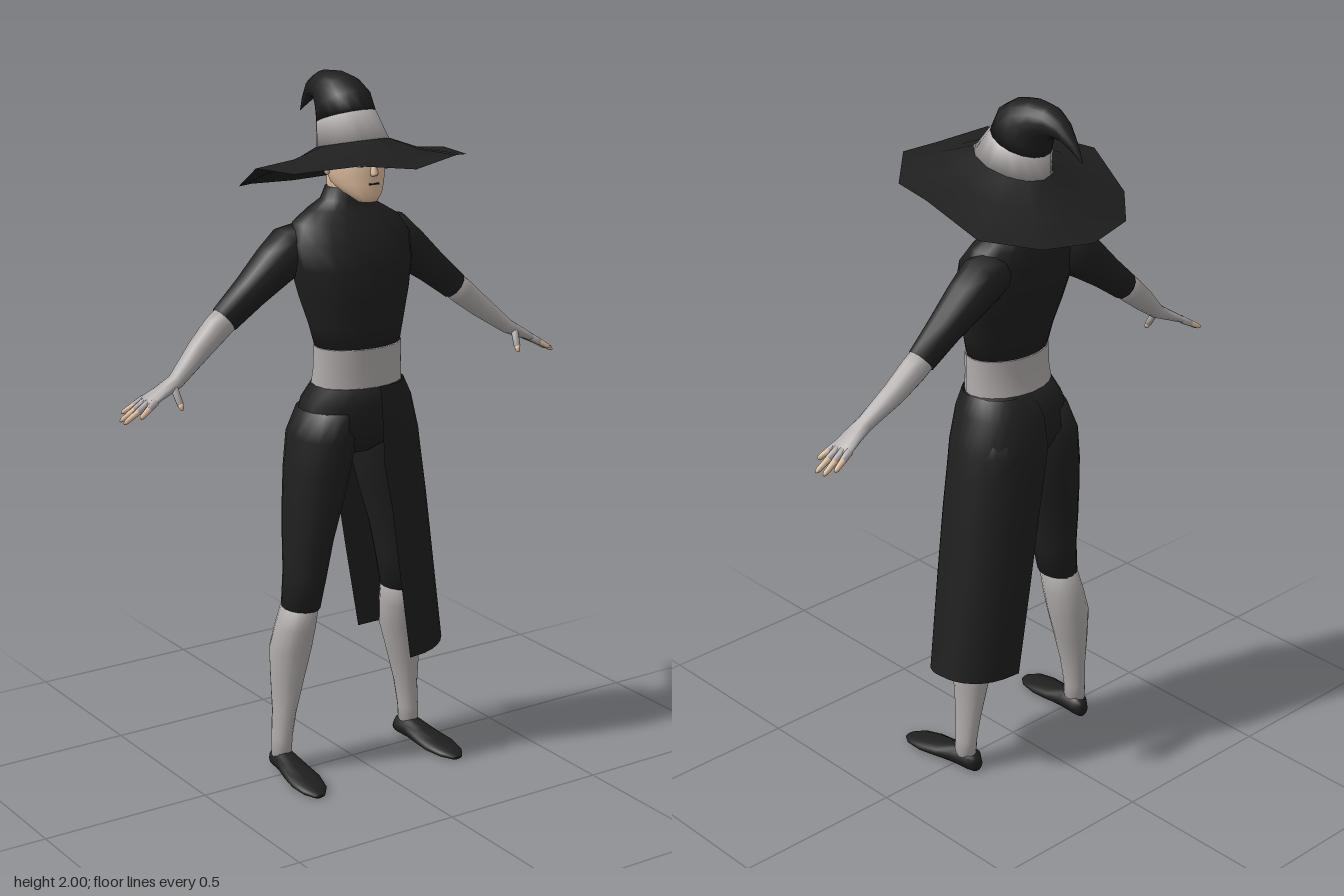
import * as THREE from 'three';

const V = (x, y, z) => new THREE.Vector3(x, y, z);
const black = new THREE.MeshStandardMaterial({ color: 0x1f1f1f, side: THREE.DoubleSide });
black.name = 'blackCloth';
const grey = new THREE.MeshStandardMaterial({ color: 0xb0abaa });
grey.name = 'greyCloth';
const skin = new THREE.MeshStandardMaterial({ color: 0xdfbf9f });
skin.name = 'skin';
const white = new THREE.MeshStandardMaterial({ color: 0xe8e4de });
white.name = 'eyeWhite';

// Skin a list of point rings; closed lofts get end caps and always face outwards.
function loft(rings, closed = true) {
  const n = rings[0].length, pts = rings.flat(), idx = [];
  const cols = closed ? n : n - 1;
  for (let r = 0; r < rings.length - 1; r++) {
    for (let i = 0; i < cols; i++) {
      const a = r * n + i, b = r * n + (i + 1) % n;
      idx.push(a, b, a + n, b, b + n, a + n);
    }
  }
  if (closed) {
    [0, rings.length - 1].forEach((r, end) => {
      const c = V(0, 0, 0);
      rings[r].forEach(p => c.addScaledVector(p, 1 / n));
      pts.push(c);
      for (let i = 0; i < n; i++) {
        const a = r * n + i, b = r * n + (i + 1) % n;
        idx.push(pts.length - 1, end ? a : b, end ? b : a);
      }
    });
    let volume = 0;
    for (let i = 0; i < idx.length; i += 3) {
      volume += pts[idx[i]].dot(V(0, 0, 0).crossVectors(pts[idx[i + 1]], pts[idx[i + 2]]));
    }
    if (volume < 0) idx.reverse();
  }
  const g = new THREE.BufferGeometry().setFromPoints(pts);
  g.setIndex(idx);
  g.computeVertexNormals();
  return g;
}

// Ellipse around c spanned by u and v, starting at u
const ellipse = (c, u, v, n) => Array.from({ length: n }, (_, i) => {
  const a = i / n * Math.PI * 2;
  return c.clone().addScaledVector(u, Math.cos(a)).addScaledVector(v, Math.sin(a));
});

// Upright form from rows of [y, centre x, half width, front z, back z]
const upright = (rows, s = 1, n = 16) => loft(rows.map(([y, x, w, f, b]) =>
  ellipse(V(s * x, y, (f + b) / 2), V(0, 0, (f - b) / 2), V(w, 0, 0), n)));

// Limb from rows of [x, y, z, thickness radius, depth radius]
function limb(rows, s, n = 12) {
  const p = rows.map(r => V(s * r[0], r[1], r[2]));
  return loft(rows.map((r, i) => {
    const d = p[Math.min(i + 1, p.length - 1)].clone().sub(p[Math.max(i - 1, 0)]).normalize();
    const u = d.clone().cross(V(0, 0, 1)).normalize(), v = u.clone().cross(d);
    return ellipse(p[i], u.multiplyScalar(r[3]), v.multiplyScalar(r[4]), n);
  }));
}

export function createModel() {
  const root = new THREE.Group();
  const add = (name, geometry, material) => {
    const m = new THREE.Mesh(geometry, material);
    m.name = name;
    root.add(m);
    return m;
  };

  // Torso, belt and hips
  add('torso', upright([
    [1.25, 0, .128, .116, -.065], [1.32, 0, .145, .12, -.08], [1.4, 0, .168, .122, -.105],
    [1.48, 0, .185, .12, -.128], [1.55, 0, .19, .095, -.13], [1.6, 0, .165, .058, -.125],
    [1.63, 0, .115, .03, -.115], [1.655, 0, .07, .015, -.1], [1.69, 0, .055, .01, -.09],
  ], 1, 20), black);
  add('belt', upright([
    [1.148, 0, .138, .12, -.08], [1.15, 0, .138, .12, -.08], [1.2, 0, .134, .12, -.07],
    [1.258, 0, .133, .121, -.07], [1.26, 0, .132, .12, -.07],
  ], 1, 20), grey);
  add('hips', upright([
    [1.16, 0, .134, .116, -.075], [1.1, 0, .163, .128, -.115], [1.03, 0, .175, .128, -.13],
    [.98, 0, .13, .1, -.11], [.945, 0, .06, .05, -.07],
  ], 1, 20), black);

  // Head
  add('neck', upright([[1.66, 0, .05, .005, -.085], [1.74, 0, .052, .01, -.085]]), skin);
  add('head', upright([
    [1.664, 0, .028, .1, .045], [1.685, 0, .052, .107, -.01], [1.71, 0, .068, .107, -.065],
    [1.74, 0, .077, .106, -.085], [1.78, 0, .082, .104, -.093], [1.815, 0, .075, .09, -.09],
    [1.84, 0, .05, .05, -.06],
  ]), skin);
  add('nose', loft([
    ellipse(V(0, 1.775, .1), V(0, 0, .006), V(.006, 0, 0), 8),
    ellipse(V(0, 1.745, .106), V(0, 0, .016), V(.011, 0, 0), 8),
    ellipse(V(0, 1.737, .104), V(0, 0, .008), V(.01, 0, 0), 8),
  ]), skin);
  add('mouth', new THREE.BoxGeometry(.03, .004, .006), black).position.set(0, 1.715, .106);
  for (const s of [1, -1]) {
    const eye = add('eye', new THREE.BoxGeometry(.022, .009, .006), white);
    const pupil = add('pupil', new THREE.BoxGeometry(.009, .009, .008), black);
    for (const m of [eye, pupil]) {
      m.position.set(s * .033, 1.767, .095);
      m.rotation.y = s * .35;
    }
    const ear = add('ear', new THREE.SphereGeometry(1, 10, 8), skin);
    ear.scale.set(.008, .024, .015);
    ear.position.set(s * .08, 1.755, -.005);
  }

  // Hat: rows of [front z, front y, back z, back y, half width]
  const hatRing = ([fz, fy, bz, by, w], n = 16) => ellipse(
    V(0, (fy + by) / 2, (fz + bz) / 2), V(0, (fy - by) / 2, (fz - bz) / 2), V(w, 0, 0), n);
  const hatRows = [
    [.12, 1.835, -.118, 1.78, .092], [.055, 1.91, -.12, 1.85, .08], [.03, 1.96, -.125, 1.875, .075],
    [-.02, 1.99, -.135, 1.895, .066], [-.08, 2, -.15, 1.908, .053], [-.14, 1.995, -.175, 1.915, .042],
    [-.19, 1.97, -.2, 1.91, .029], [-.24, 1.915, -.225, 1.893, .014], [-.265, 1.867, -.264, 1.867, .001],
  ];
  add('hatBand', loft(hatRows.slice(0, 2).map(r => hatRing(r))), grey);
  add('hatCrown', loft(hatRows.slice(1).map(r => hatRing(r))), black);

  // Brim: twelve-sided, drooping to the back; half outline mirrored
  const half = [[0, 1.785, .305], [.155, 1.803, .27], [.28, 1.775, .145], [.308, 1.772, 0],
    [.27, 1.695, -.155], [.155, 1.672, -.275], [0, 1.66, -.31]].map(p => V(...p));
  const outer = [...half, ...half.slice(1, 6).reverse().map(p => V(-p.x, p.y, p.z))];
  const inner = hatRing([.122, 1.84, -.12, 1.785, .094], 12);
  const middle = inner.map((p, i) => p.clone().lerp(outer[i], .45).add(V(0, -.01, 0)));
  const wrap = ring => [...ring, ring[0]];
  add('hatBrim', loft([inner, middle, outer].map(wrap), false), black);

  for (const s of [1, -1]) {
    const side = s > 0 ? 'left' : 'right';

    // Arm and hand
    add(side + 'Sleeve', limb([
      [.11, 1.545, -.055, .06, .055], [.17, 1.525, -.055, .072, .066], [.22, 1.488, -.055, .063, .062],
      [.3, 1.424, -.053, .05, .05], [.383, 1.357, -.052, .042, .039],
    ], s), black);
    add(side + 'Glove', limb([
      [.37, 1.367, -.052, .039, .036], [.41, 1.336, -.05, .039, .037], [.47, 1.286, -.042, .033, .033],
      [.555, 1.217, -.02, .021, .026], [.6, 1.194, -.021, .016, .033], [.64, 1.173, -.025, .011, .039],
      [.65, 1.168, -.025, .006, .035],
    ], s), grey);
    const digits = [
      [V(.635, 1.175, -.052), V(.697, 1.14, -.066)], [V(.64, 1.174, -.034), V(.715, 1.126, -.04)],
      [V(.64, 1.174, -.014), V(.718, 1.126, -.012)], [V(.63, 1.177, .002), V(.685, 1.143, .02)],
      [V(.57, 1.21, -.005), V(.562, 1.148, .028)],
    ];
    digits.forEach(([a, b], i) => {
      const at = (t, r) => [...a.clone().lerp(b, t).toArray(), r, r];
      const cut = i === 4 ? .75 : .45;
      const name = side + (i === 4 ? 'Thumb' : 'Finger');
      add(name, limb([at(0, .011), at(cut, .0095)], s, 8), grey);
      add(name + 'Tip', limb([at(cut, .009), at(.9, .007), at(1, .003)], s, 8), skin);
    });

    // Leg, stocking and shoe
    add(side + 'Trouser', upright([
      [1.08, .085, .083, .11, -.1], [1, .1, .09, .115, -.13], [.9, .113, .088, .1, -.125],
      [.8, .13, .08, .09, -.11], [.7, .147, .067, .08, -.095], [.6, .158, .059, .068, -.08],
      [.5, .17, .052, .056, -.076],
    ], s), black);
    add(side + 'Stocking', upright([
      [.52, .169, .048, .053, -.073], [.44, .18, .056, .043, -.09], [.37, .19, .06, .03, -.1],
      [.28, .201, .046, .02, -.092], [.18, .212, .031, .008, -.08], [.1, .221, .028, .001, -.072],
      [.04, .223, .028, 0, -.068],
    ], s), grey);
    const shoe = [[-.078, .02, .04], [-.06, .032, .064], [-.005, .035, .064], [.05, .044, .048],
      [.11, .05, .036], [.165, .04, .025], [.195, .018, .014]];
    add(side + 'Shoe', loft(shoe.map(([z, w, h]) => ellipse(
      V(s * (.223 + z * .08), h / 2, z), V(w, 0, 0), V(0, h / 2, 0), 14))), black);
  }

  // Wrap skirt over the left leg: [y, front edge x, back edge x, outer x, front z, back z]
  const skirt = [
    [1.15, .01, 0, .14, .122, -.082], [1.1, .01, 0, .168, .134, -.125], [1, .01, 0, .195, .142, -.142],
    [.93, .014, .015, .207, .14, -.145], [.8, .045, .04, .23, .133, -.148],
    [.6, .08, .075, .262, .122, -.152], [.33, .135, .125, .309, .1, -.157],
  ];
  add('wrapSkirt', loft(skirt.map(([y, xf, xb, xo, f, b], r) => Array.from({ length: 17 }, (_, i) => {
    const t = i / 16, a = t * Math.PI, xi = xf + (xb - xf) * t;
    const hem = r === skirt.length - 1 ? Math.abs(Math.cos(a)) * (t < .5 ? -.02 : 0) + Math.sin(a) * .01 : 0;
    return V(xi + (xo - xi) * Math.pow(Math.max(0, Math.sin(a)), .75), y + hem, (f + b) / 2 + (f - b) / 2 * Math.cos(a));
  })), false), black);

  return root;
}
